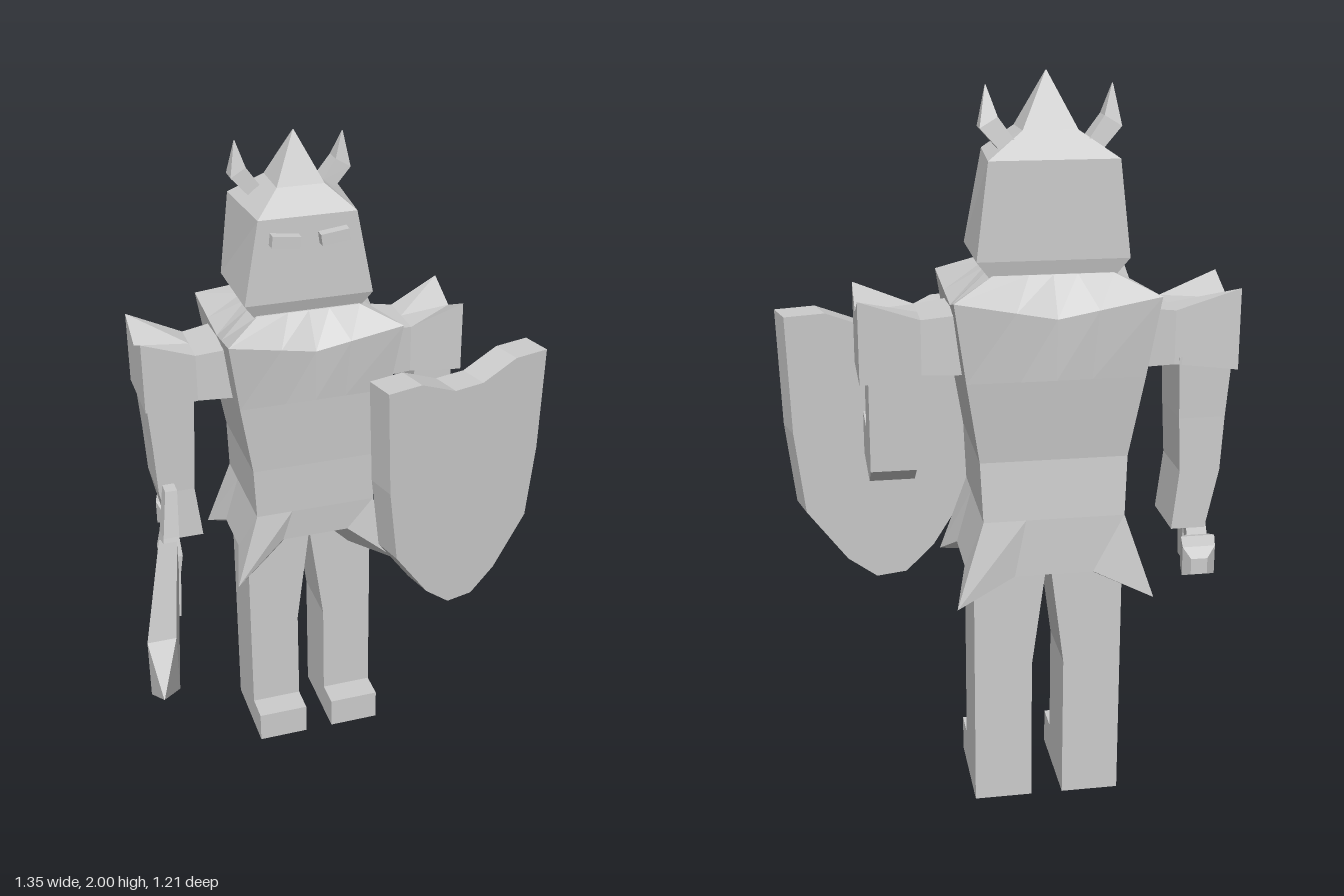
import * as THREE from 'three';

const CX = -0.028; // body's mirror plane

export function createModel() {
  const model = new THREE.Group();
  const stone = new THREE.MeshStandardMaterial({ color: 0xcccccc, flatShading: true });
  stone.name = 'plain grey';

  const add = (name, geometry) => {
    const mesh = new THREE.Mesh(geometry, stone);
    mesh.name = name;
    model.add(mesh);
    return mesh;
  };

  // Capped skin through cross-sections of equal point count, always facing outward
  function loft(sections) {
    const tris = [];
    const n = sections[0].length;
    for (let s = 0; s + 1 < sections.length; s++) {
      const a = sections[s], b = sections[s + 1];
      for (let i = 0; i < n; i++) {
        const j = (i + 1) % n;
        tris.push([a[i], a[j], b[j]], [a[i], b[j], b[i]]);
      }
    }
    const mid = (ring) => [0, 1, 2].map((k) => ring.reduce((t, p) => t + p[k], 0) / n);
    const first = sections[0], last = sections[sections.length - 1];
    const m0 = mid(first), m1 = mid(last);
    for (let i = 0; i < n; i++) {
      const j = (i + 1) % n;
      tris.push([m0, first[j], first[i]], [m1, last[i], last[j]]);
    }
    let volume = 0;
    const c = mid([...first, ...last].slice(0, n));
    const v = (p) => new THREE.Vector3(p[0] - c[0], p[1] - c[1], p[2] - c[2]);
    for (const [p, q, r] of tris) volume += v(p).dot(v(q).cross(v(r)));
    const flat = [];
    for (const [p, q, r] of tris) flat.push(...p, ...(volume < 0 ? [...r, ...q] : [...q, ...r]));
    const g = new THREE.BufferGeometry();
    g.setAttribute('position', new THREE.Float32BufferAttribute(flat, 3));
    g.computeVertexNormals();
    return g;
  }

  const mirror = (sections) => sections.map((s) => s.map(([x, y, z]) => [2 * CX - x, y, z]));
  // Rectangles lying across y, and across z
  const rectY = (y, x0, x1, zf, zb) => [[x0, y, zf], [x1, y, zf], [x1, y, zb], [x0, y, zb]];
  const rectZ = (z, x, y, w, h) => [[x - w, y - h, z], [x + w, y - h, z], [x + w, y + h, z], [x - w, y + h, z]];

  // Tunic: four-sided rings with three extra points per side for hem and neckline dips
  function ring(y, w, zf, zb, front = y, side = y, back = y, inset = 0, flatHem = false) {
    const corners = [[-w, zf], [w, zf], [w, zb], [-w, zb]];
    const dips = [front, side, back, side];
    const pts = [];
    for (let k = 0; k < 4; k++) {
      const a = corners[k], b = corners[(k + 1) % 4];
      for (const t of [0, 0.3, 0.5, 0.7]) {
        const f = t === 0 ? 0 : flatHem || t === 0.5 ? 1 : 0.6;
        let x = a[0] + (b[0] - a[0]) * t, z = a[1] + (b[1] - a[1]) * t;
        if (k % 2) x -= Math.sign(x) * inset * f;
        else z += (k === 0 ? -1 : 1) * inset * f;
        pts.push([CX + x, y + (dips[k] - y) * f, z]);
      }
    }
    return pts;
  }
  add('tunic', loft([
    ring(0.645, 0.262, -0.165, -0.583, 0.77, 0.715, 0.715, 0.035, true),
    ring(0.87, 0.187, -0.195, -0.545),
    ring(1.03, 0.194, -0.193, -0.533),
    ring(1.25, 0.23, -0.18, -0.56),
    ring(1.462, 0.262, -0.155, -0.583, 1.41, 1.41, 1.41, 0.015),
    ring(1.51, 0.155, -0.24, -0.5),
  ]));

  // Helmet with flared chin and concave spire
  const helmRing = (y, wf, wb, zf, zb) =>
    [[CX - wf, y, zf], [CX + wf, y, zf], [CX + wb, y, zb], [CX - wb, y, zb]];
  add('helmet', loft([
    helmRing(1.495, 0.155, 0.155, -0.25, -0.495),
    helmRing(1.547, 0.192, 0.195, -0.232, -0.507),
    helmRing(1.795, 0.145, 0.165, -0.237, -0.507),
    helmRing(1.86, 0.07, 0.07, -0.305, -0.445),
    helmRing(2.0, 0.001, 0.001, -0.373, -0.375),
  ]));

  // Horns and eye slits on both sides
  for (const s of [-1, 1]) {
    const hornSection = (d0, y0, d1, y1, zf, zb) => [
      [CX + s * d0, y0, zf], [CX + s * d1, y1, zf], [CX + s * d1, y1, zb], [CX + s * d0, y0, zb]];
    add(s < 0 ? 'rightHorn' : 'leftHorn', loft([
      hornSection(0.07, 1.82, 0.1, 1.79, -0.395, -0.465),
      hornSection(0.092, 1.838, 0.128, 1.813, -0.395, -0.465),
      hornSection(0.133, 1.895, 0.178, 1.868, -0.4, -0.455),
      hornSection(0.158, 1.97, 0.16, 1.97, -0.419, -0.421),
    ]));
    const eye = add(s < 0 ? 'rightEye' : 'leftEye', new THREE.BoxGeometry(0.084, 0.034, 0.06));
    eye.position.set(CX + s * 0.072, 1.735, -0.235);
    eye.rotation.z = s * 0.12;
  }

  // Legs with forward feet
  for (const s of [-1, 1]) {
    const x = (d) => CX + s * d;
    add(s < 0 ? 'rightLeg' : 'leftLeg', loft([
      rectY(0, x(0.044), x(0.203), -0.27, -0.465),
      rectY(0.41, x(0.044), x(0.203), -0.27, -0.465),
      rectY(0.73, x(0.002), x(0.203), -0.27, -0.465),
    ]));
    const foot = add(s < 0 ? 'rightFoot' : 'leftFoot', new THREE.BoxGeometry(0.159, 0.1, 0.1));
    foot.position.set(x(0.1235), 0.05, -0.235);
  }

  // Shoulders: outer edge rises to two points
  const cuff = (x, low, high, dip, zf, zb) => {
    const zm = (zf + zb) / 2;
    return [[x, low, zf], [x, high, zf], [x, dip, zm], [x, high, zb], [x, low, zb], [x, low, zm]];
  };
  const shoulder = [
    cuff(-0.24, 1.25, 1.41, 1.41, -0.265, -0.475),
    cuff(-0.36, 1.25, 1.395, 1.395, -0.28, -0.46),
    cuff(-0.52, 1.24, 1.457, 1.405, -0.265, -0.5),
  ];
  add('rightShoulder', loft(shoulder));
  add('leftShoulder', loft(mirror(shoulder)));

  // Right arm hangs down to the sword
  add('rightArm', loft([
    rectY(1.27, -0.515, -0.372, -0.28, -0.465),
    rectY(1.1, -0.503, -0.378, -0.285, -0.46),
    rectY(0.95, -0.495, -0.385, -0.29, -0.46),
    rectY(0.785, -0.46, -0.367, -0.285, -0.46),
  ]));

  // Left arm bends forward to the shield
  const bend = new THREE.Shape([
    [0.285, 1.27], [0.285, 1.06], [0.09, 1.06], [0.09, 0.94], [0.375, 0.94], [0.445, 0.99], [0.46, 1.27],
  ].map(([z, y]) => new THREE.Vector2(z, y)));
  const arm = add('leftArm', new THREE.ExtrudeGeometry(bend, { depth: 0.12, bevelEnabled: false }));
  arm.rotation.y = Math.PI / 2;
  arm.position.x = 0.32;

  // Shield: half outline mirrored, then turned outward
  const half = [[0.284, 1.35], [0.17, 1.35], [0.05, 1.3]];
  const lower = [[0.045, 0.556], [0.13, 0.625], [0.245, 0.785], [0.273, 1.02]];
  const outline = [...half, ...half.slice().reverse().map(([u, y]) => [-u, y]),
    ...lower.slice().reverse().map(([u, y]) => [-u, y]), ...lower];
  const shield = add('shield', new THREE.ExtrudeGeometry(
    new THREE.Shape(outline.map(([u, y]) => new THREE.Vector2(u, y))), { depth: 0.1, bevelEnabled: false }));
  shield.geometry.translate(0, 0, -0.05);
  shield.position.set(0.383, 0, -0.075);
  shield.rotation.y = 0.25;

  // Sword: every section is centred on one slanted axis
  const blade = (z, w, h) => rectZ(z, -0.49 - 0.22 * (z + 0.22), 0.785 + 0.129 * (z + 0.22), w, h);
  add('swordBlade', loft([
    blade(-0.22, 0.028, 0.045),
    blade(0.45, 0.038, 0.083),
    rectZ(0.605, -0.667, 0.888, 0.001, 0.001),
  ]));
  add('swordGrip', loft([blade(-0.53, 0.028, 0.028), blade(-0.2, 0.028, 0.028)]));
  add('swordPommel', loft([
    blade(-0.485, 0.03, 0.025), blade(-0.52, 0.046, 0.04),
    blade(-0.575, 0.044, 0.04), blade(-0.605, 0.022, 0.022),
  ]));
  const guard = (y, x, z, w, d) => rectY(y, x - w, x + w, z + d, z - d);
  add('swordGuard', loft([
    guard(0.58, -0.493, -0.183, 0.018, 0.022),
    guard(0.73, -0.489, -0.205, 0.024, 0.03),
    guard(0.79, -0.488, -0.215, 0.032, 0.04),
    guard(0.85, -0.484, -0.22, 0.024, 0.03),
    guard(0.995, -0.47, -0.24, 0.018, 0.022),
  ]));

  return model;
}
